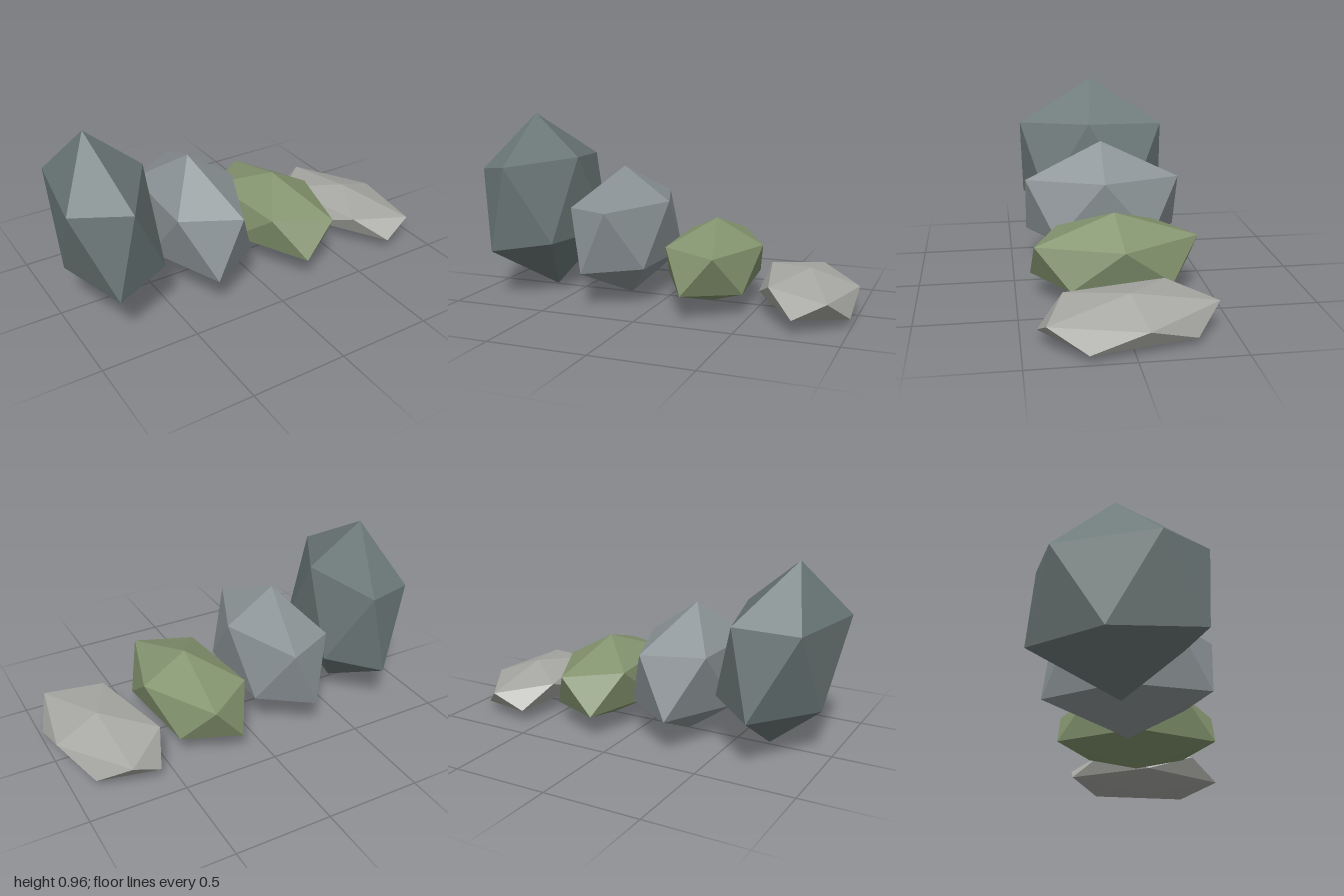
import * as THREE from 'three';

// Each stone: name, colour, centre [x, y], half sizes [x, y, z], tilt about z, yaw about y
const STONES = [
  ['tallStone', 0x6b7777, [-0.735, 0.481], [0.275, 0.48, 0.492], 0.135, -0.155],
  ['mediumStone', 0x8b9396, [-0.24, 0.345], [0.276, 0.346, 0.492], 0.052, -0.035],
  ['mossyStone', 0x84946f, [0.253, 0.222], [0.276, 0.222, 0.492], -0.04, 0.09],
  ['flatStone', 0xa8a8a4, [0.75, 0.111], [0.277, 0.111, 0.492], -0.1, 0.21],
];

// Icosahedron turned so that one corner points straight up, then stretched
function stoneGeometry(size) {
  const geometry = new THREE.IcosahedronGeometry(1, 0);
  geometry.rotateZ(-Math.atan(2 / (1 + Math.sqrt(5))));
  geometry.scale(...size);
  return geometry;
}

export function createModel() {
  const group = new THREE.Group();
  group.name = 'steppedStones';
  for (const [name, color, [x, y], size, tilt, yaw] of STONES) {
    const material = new THREE.MeshStandardMaterial({ color, flatShading: true });
    const stone = new THREE.Mesh(stoneGeometry(size), material);
    stone.name = name;
    stone.position.set(x, y, 0);
    stone.rotation.set(0, yaw, tilt);
    group.add(stone);
  }
  return group;
}
